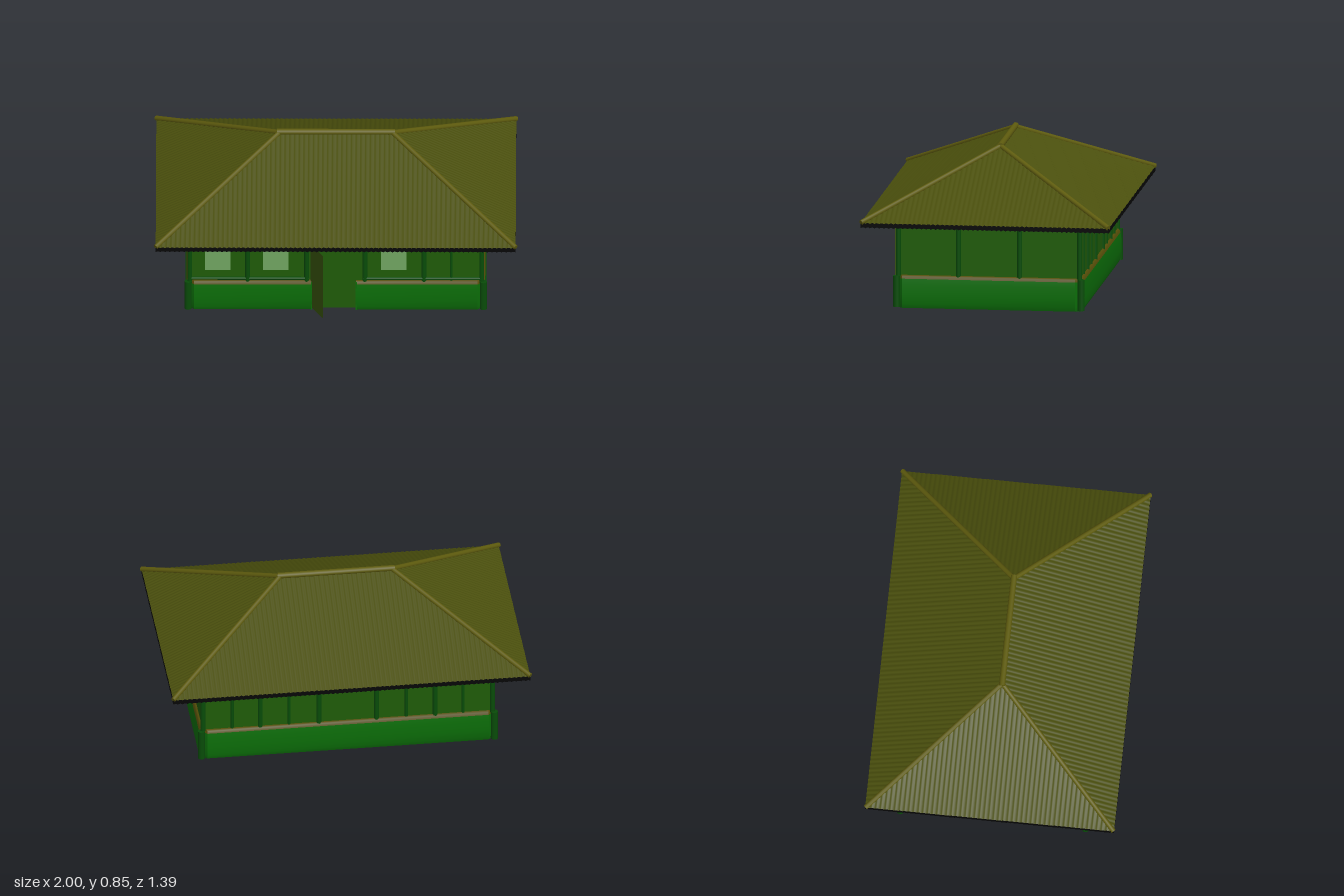
import * as THREE from 'three';

const mat = color => new THREE.MeshStandardMaterial({ color, side: THREE.DoubleSide });
const M = {
  roof: mat(0x4a4f0c), cap: mat(0x5f5c0e), dark: mat(0x060606), wall: mat(0x1f5c08),
  base: mat(0x0b6c08), post: mat(0x084c08), pane: mat(0x34780c), door: mat(0x35500a), ledge: mat(0x544c08),
};
const EX = 0.99, EZ = 0.688, RIDGE = 0.31, EAVE = 0.502, TOP = 0.828, THICK = 0.025; // roof
const WX = 0.8, WZ = 0.5, WALL_LOW = 0.18, WALL_TOP = 0.54;                          // walls

// Quad surface from rows of points
function gridMesh(name, rows, material) {
  const n = rows[0].length, idx = [];
  for (let r = 0; r < rows.length - 1; r++)
    for (let c = 0; c < n - 1; c++) {
      const a = r * n + c, b = a + 1, d = a + n, e = d + 1;
      idx.push(a, b, e, a, e, d);
    }
  const g = new THREE.BufferGeometry();
  g.setAttribute('position', new THREE.Float32BufferAttribute(rows.flat(2), 3));
  g.setIndex(idx);
  g.computeVertexNormals();
  const m = new THREE.Mesh(g, material);
  m.name = name;
  return m;
}

// Round bar between two points
function bar(name, a, b, r, material = M.post) {
  const A = new THREE.Vector3(...a), B = new THREE.Vector3(...b), d = B.clone().sub(A);
  const m = new THREE.Mesh(new THREE.CylinderGeometry(r, r, d.length(), 10), material);
  m.position.copy(A).add(B).multiplyScalar(0.5);
  m.quaternion.setFromUnitVectors(new THREE.Vector3(0, 1, 0), d.normalize());
  m.name = name;
  return m;
}

function box(name, w, h, d, x, y, z, material) {
  const m = new THREE.Mesh(new THREE.BoxGeometry(w, h, d), material);
  m.position.set(x, y, z);
  m.name = name;
  return m;
}

// Corrugated slope with a dark edge and underside.
// L: half eave length, D: eave distance, R: half ridge length, Z: ridge distance
function roofSlope(L, D, R, Z, angle) {
  const g = new THREE.Group(), n = Math.round(L / 0.013) * 4;
  const eave = [], hip = [], low = [], lowHip = [];
  for (let i = 0; i <= n; i++) {
    const x = -L + (2 * L * i) / n;
    const t = Math.min(1, (L - Math.abs(x)) / (L - R)); // 0 at corner, 1 at ridge
    const w = 0.005 * Math.abs(Math.sin((Math.PI * i) / 4));
    const y = EAVE + (TOP - EAVE) * t, z = D + (Z - D) * t;
    eave.push([x, EAVE + w, D]);
    hip.push([x, y + w, z]);
    low.push([x, EAVE + w - THICK, D]);
    lowHip.push([x, y + w - THICK, z]);
  }
  g.add(
    gridMesh('roofSlope', [eave, hip], M.roof),
    gridMesh('eaveEdge', [low, eave], M.dark),
    gridMesh('roofUnderside', [lowHip, low], M.dark),
  );
  g.rotation.y = angle;
  g.name = 'roofSide';
  return g;
}

function buildRoof() {
  const g = new THREE.Group();
  g.name = 'roof';
  for (const k of [0, 1]) {
    g.add(roofSlope(EX, EZ, RIDGE, 0, k * Math.PI));
    g.add(roofSlope(EZ, EX, 0, RIDGE, Math.PI / 2 + k * Math.PI));
  }
  // Ridge and hip caps
  g.add(bar('ridgeCap', [-0.325, 0.836, 0], [0.325, 0.836, 0], 0.017, M.cap));
  for (const sx of [-1, 1]) for (const sz of [-1, 1])
    g.add(bar('hipCap', [sx * RIDGE, 0.832, 0], [sx * 0.99, 0.508, sz * 0.686], 0.014, M.cap));
  return g;
}

function buildWalls() {
  const g = new THREE.Group(), h = WALL_TOP - WALL_LOW, y = (WALL_TOP + WALL_LOW) / 2;
  g.name = 'walls';
  for (const s of [-1, 1]) {
    g.add(box('longWall', 2 * WX, h, 0.008, 0, y, s * WZ, M.wall));
    g.add(box('endWall', 0.008, h, 2 * WZ, s * WX, y, 0, M.wall));
  }
  g.add(box('entrancePanel', 0.25, 0.18, 0.008, -0.01, 0.1, WZ, M.wall));

  // Posts
  const post = (x, z, r = 0.014) => g.add(bar('post', [x, 0.17, z], [x, WALL_TOP, z], r));
  for (const sx of [-1, 1]) {
    for (const sz of [-1, 1]) {
      post(sx * 0.803, sz * 0.503);
      post(sx * 0.16, sz * 0.503);
      post(sx * 0.485, sz * 0.503);
      post(sx * 0.803, sz * 0.17);
    }
    post(sx * 0.325, -0.503, 0.009);
    post(sx * 0.64, -0.503, 0.009);
    // Front sill rails either side of the entrance
    g.add(bar('sillRail', [sx * 0.15, 0.2, 0.506], [sx * 0.8, 0.2, 0.506], 0.009));
  }
  post(0.635, 0.503, 0.008);
  return g;
}

// Rounded skirt around the house, open at the entrance
function buildBase() {
  const g = new THREE.Group(), c = 0.02;
  g.name = 'base';
  // x, z, outward x, outward z
  const path = [
    [0.11, WZ, 0, 1], [WX - c, WZ, 0, 1], [WX, WZ - c, 1, 0], [WX, c - WZ, 1, 0], [WX - c, -WZ, 0, -1],
    [c - WX, -WZ, 0, -1], [-WX, c - WZ, -1, 0], [-WX, WZ - c, -1, 0], [c - WX, WZ, 0, 1], [-0.13, WZ, 0, 1],
  ];
  // Offset outward and height, from the bottom up
  const skin = [[0.014, 0.006], [0.024, 0.03], [0.028, 0.08], [0.026, 0.14], [0.022, 0.17]];
  const ledge = [[0.022, 0.17], [0.017, 0.183], [0.01, 0.189], [-0.005, 0.19]];
  for (let i = 0; i < path.length - 1; i++) {
    const sweep = profile => profile.map(([o, y]) =>
      path.slice(i, i + 2).map(([x, z, nx, nz]) => [x + nx * o, y, z + nz * o]));
    g.add(gridMesh('baseWall', sweep(skin), M.base), gridMesh('baseLedge', sweep(ledge), M.ledge));
  }
  for (const sx of [-1, 1]) for (const sz of [-1, 1])
    g.add(bar('baseCorner', [sx * 0.812, 0.012, sz * 0.512], [sx * 0.812, 0.185, sz * 0.512], 0.02));
  for (const x of [0.113, -0.133]) g.add(box('baseEnd', 0.006, 0.175, 0.026, x, 0.095, 0.512, M.base));
  return g;
}

export function createModel() {
  const model = new THREE.Group();
  model.name = 'house';
  model.add(buildRoof(), buildWalls(), buildBase());

  // Awning window flaps, propped open at the bottom
  for (const x of [-0.65, -0.33, 0.32])
    model.add(gridMesh('windowFlap', [
      [[x - 0.07, 0.305, 0.592], [x + 0.07, 0.305, 0.592]],
      [[x - 0.07, 0.42, 0.507], [x + 0.07, 0.42, 0.507]],
    ], M.pane));

  // Door standing open
  model.add(gridMesh('door', [
    [[-0.14, 0.02, 0.505], [-0.07, 0.02, 0.635]],
    [[-0.14, 0.42, 0.505], [-0.07, 0.42, 0.635]],
  ], M.door));
  return model;
}
